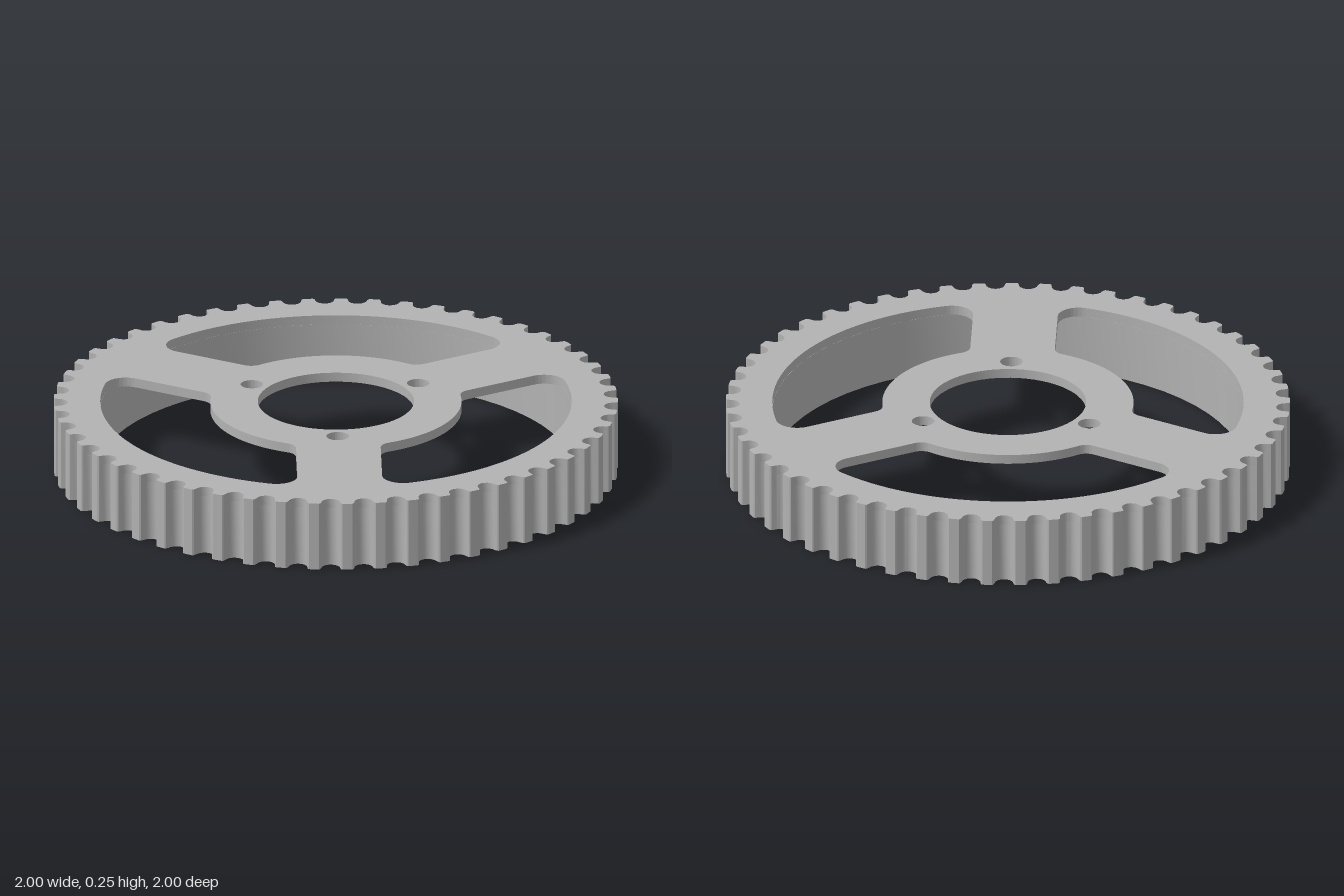
import * as THREE from 'three';
import { toCreasedNormals } from 'three/addons/utils/BufferGeometryUtils.js';

const TEETH = 53, HEIGHT = 0.25, PLATE = 0.034;
const RIM_IN = 0.835, HUB = 0.445, BORE = 0.277;
const SPOKE_HALF = 0.15, FILLET_OUT = 0.075, FILLET_IN = 0.05;
const rad = THREE.MathUtils.degToRad;

// Toothed outline with a rounded notch between neighbouring teeth
function toothedShape() {
  const pitch = (Math.PI * 2) / TEETH, points = [];
  const put = (r, a) => points.push(new THREE.Vector2(r * Math.cos(a), r * Math.sin(a)));
  for (let i = 0; i < TEETH; i++) {
    const mid = rad(92.1) + (i + 0.5) * pitch;
    put(1, mid - 0.5 * pitch);
    put(1, mid - 0.042);
    put(0.996, mid - 0.037);
    for (let k = 0; k <= 10; k++) {
      const t = (k / 10) * Math.PI;
      put(0.985 - 0.034 * Math.sin(t), mid - 0.034 * Math.cos(t));
    }
    put(0.996, mid + 0.037);
    put(1, mid + 0.042);
  }
  return new THREE.Shape(points);
}

function circle(r, dist = 0, angle = 0) {
  return new THREE.Path().absarc(dist * Math.cos(angle), dist * Math.sin(angle), r, 0, Math.PI * 2, true);
}

// Filleted opening between the spoke at angle a and the next one
function windowPath(a) {
  const b = a + rad(120), half = Math.PI / 2;
  const ro = RIM_IN - FILLET_OUT, ri = HUB + FILLET_IN;
  const to = Math.asin((SPOKE_HALF + FILLET_OUT) / ro);
  const ti = Math.asin((SPOKE_HALF + FILLET_IN) / ri);
  const path = new THREE.Path();
  const fillet = (dist, ang, r, from, end) =>
    path.absarc(dist * Math.cos(ang), dist * Math.sin(ang), r, from, end, false);
  path.absarc(0, 0, RIM_IN, a + to, b - to, false);
  fillet(ro, b - to, FILLET_OUT, b - to, b + half);
  fillet(ri, b - ti, FILLET_IN, b + half, b - ti + Math.PI);
  path.absarc(0, 0, HUB, b - ti, a + ti, true);
  fillet(ri, a + ti, FILLET_IN, a + ti + Math.PI, a + 3 * half);
  fillet(ro, a + to, FILLET_OUT, a + 3 * half, a + to + 4 * half);
  return path;
}

function layer(name, shape, y, depth, material) {
  const extruded = new THREE.ExtrudeGeometry(shape, { depth, bevelEnabled: false, curveSegments: 32 });
  extruded.rotateX(-Math.PI / 2);
  const mesh = new THREE.Mesh(toCreasedNormals(extruded, rad(30)), material);
  mesh.name = name;
  mesh.position.y = y;
  return mesh;
}

export function createModel() {
  const steel = new THREE.MeshStandardMaterial({ color: 0xb2b2b2 });
  steel.name = 'grey steel';
  const group = new THREE.Group();
  group.name = 'toothedWheel';

  // Deep toothed rim
  const rim = toothedShape();
  rim.holes.push(circle(RIM_IN));
  group.add(layer('toothedRim', rim, 0, HEIGHT - PLATE, steel));

  // Thin top plate with hub, three spokes, bore and bolt holes
  const plate = toothedShape();
  plate.holes.push(circle(BORE));
  for (let i = 0; i < 3; i++) {
    const a = rad(75 + 120 * i);
    plate.holes.push(windowPath(a), circle(0.04, 0.34, a));
  }
  group.add(layer('spokedPlate', plate, HEIGHT - PLATE, PLATE, steel));
  return group;
}
